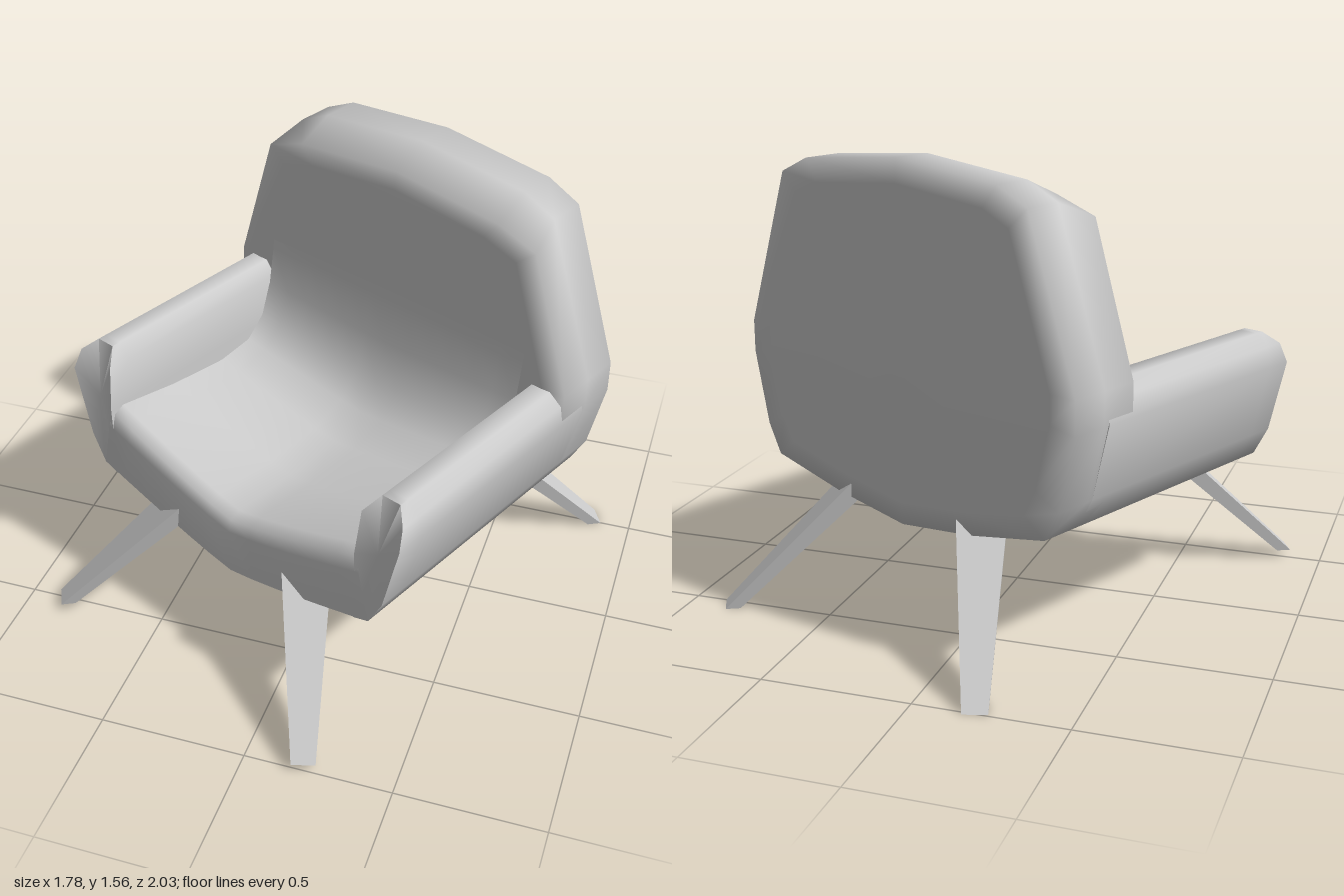
import * as THREE from 'three';
import { toCreasedNormals } from 'three/addons/utils/BufferGeometryUtils.js';

const upholstery = new THREE.MeshStandardMaterial({ color: 0xcccccc });
upholstery.name = 'light grey';

function build(name, pos, index, crease) {
  const g = new THREE.BufferGeometry();
  g.setAttribute('position', new THREE.Float32BufferAttribute(pos.flat(), 3));
  g.setIndex(index);
  const mesh = new THREE.Mesh(toCreasedNormals(g, crease), upholstery);
  mesh.name = name;
  return mesh;
}

// Skin over a list of rings, closed by a fan at both ends
function loft(name, rings, crease) {
  const n = rings[0].length, last = rings.length - 1;
  const pos = rings.flat(), index = [];
  for (let r = 0; r < last; r++) {
    for (let i = 0; i < n; i++) {
      const a = r * n + i, b = r * n + (i + 1) % n;
      index.push(a, b, a + n, b, b + n, a + n);
    }
  }
  [0, last].forEach((r) => {
    const c = pos.length;
    pos.push([0, 1, 2].map((k) => rings[r].reduce((s, p) => s + p[k], 0) / n));
    for (let i = 0; i < n; i++) {
      const a = r * n + i, b = r * n + (i + 1) % n;
      if (r) index.push(c, a, b); else index.push(c, b, a);
    }
  });
  return build(name, pos, index, crease);
}

// Backrest: rounded outline, lower along its front top edge
function backrest() {
  const bottom = [[0, 0.365], [0.3, 0.405], [0.61, 0.47], [0.665, 0.57], [0.725, 0.82], [0.725, 0.93]];
  const topRear = [[0.54, 1.465], [0.42, 1.52], [0, 1.56]];
  const topFront = [[0.57, 1.41], [0.42, 1.46], [0, 1.5]];
  const ring = (top, z, inset = 1) => {
    const half = [...bottom, ...top];
    const mirrored = half.slice(1, -1).reverse().map(([x, y]) => [-x, y]);
    return [...half, ...mirrored].map(([x, y]) => [x * inset, 0.95 + (y - 0.95) * inset, z]);
  };
  return loft('backrest', [
    ring(topRear, -0.56, 0.87), ring(topRear, -0.555), ring(topRear, -0.42),
    ring(topFront, -0.285), ring(topFront, -0.278, 0.88),
  ], 1.75);
}

// Armrest: rounded section with a softened front top
function armrest(name, side) {
  let section = [[0.55, 0.45], [0.61, 0.47], [0.665, 0.57], [0.728, 0.82], [0.715, 0.89],
    [0.67, 0.93], [0.6, 0.93], [0.562, 0.88], [0.552, 0.72]];
  if (side < 0) section = section.map(([x, y]) => [-x, y]).reverse();
  const ring = (z, round) => section.map(([x, y]) =>
    [x, y, z - round * 6 * Math.max(0, y - 0.82) ** 2]);
  return loft(name, [ring(-0.4, 0), ring(0.45, 0), ring(0.555, 1)], 1.3);
}

// Seat: underside, front, dished top and curve up into the backrest
function seat() {
  // z, height at centre, height at side, half width
  const rows = [
    [-0.55, 0.365, 0.47, 0.61], [0, 0.322, 0.46, 0.61], [0.555, 0.32, 0.47, 0.61],
    [0.555, 0.49, 0.65, 0.57], [0.54, 0.53, 0.7, 0.56], [0.5, 0.548, 0.72, 0.56],
    [0.25, 0.545, 0.68, 0.56], [0.02, 0.56, 0.66, 0.56], [-0.12, 0.61, 0.68, 0.56],
    [-0.2, 0.7, 0.75, 0.56], [-0.25, 0.84, 0.86, 0.56], [-0.275, 1.0, 1.0, 0.56],
    [-0.287, 1.15, 1.13, 0.56],
  ];
  const cols = 12, pos = [], index = [];
  rows.forEach(([z, yc, ye, w], r) => {
    for (let i = 0; i <= cols; i++) {
      const t = (2 * i) / cols - 1;
      pos.push([t * w, yc + (ye - yc) * Math.abs(t) ** 1.2, z]);
      if (r && i) {
        const d = r * (cols + 1) + i, c = d - 1, b = d - cols - 1, a = b - 1;
        index.push(a, b, c, b, d, c);
      }
    }
  });
  return build('seat', pos, index, 1.1);
}

// Splayed leg, wide across and tapering to the foot
function leg(name, sx, sz) {
  const len = Math.hypot(0.25, 0.3);
  const d = [sx * 0.25 / len, sz * 0.3 / len], p = [d[1], -d[0]];
  const ring = (x, y, z, width, thick) => [[1, -1], [1, 1], [-1, 1], [-1, -1]].map(([u, v]) => [
    sx * x + (d[0] * u * thick + p[0] * v * width) / 2, y,
    sz * z + (d[1] * u * thick + p[1] * v * width) / 2]);
  return loft(name, [
    ring(0.572, sz > 0 ? 0.03 : 0, 0.82, 0.08, 0.05),
    ring(0.25, 0.49, 0.44, 0.17, 0.09),
  ], 0.6);
}

export function createModel() {
  const model = new THREE.Group();
  model.name = 'armchair';
  model.add(backrest(), seat(), armrest('leftArmrest', 1), armrest('rightArmrest', -1));
  for (const [sx, side] of [[1, 'Left'], [-1, 'Right']]) {
    model.add(leg('front' + side + 'Leg', sx, 1), leg('rear' + side + 'Leg', sx, -1));
  }
  // The chair stands turned towards its right
  model.rotation.y = -0.411;
  return model;
}
